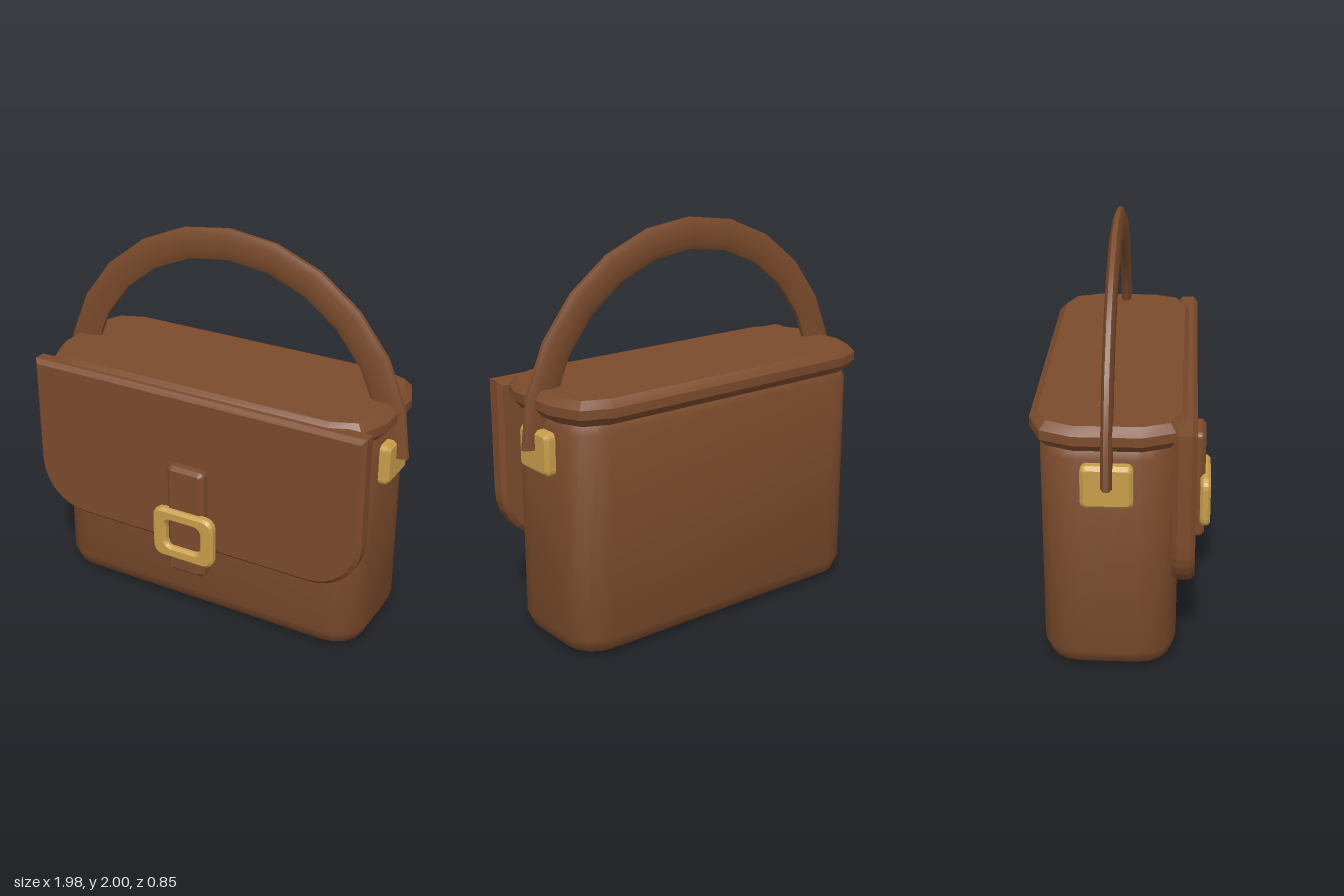
import * as THREE from 'three';
import { toCreasedNormals } from 'three/addons/utils/BufferGeometryUtils.js';

// Closed solid through rings of [x, y, z] points, capped at both ends
function loft(rings, crease) {
  const n = rings[0].length, last = rings.length - 1;
  const pos = rings.flat(2), idx = [];
  for (let j = 0; j < last; j++) {
    for (let i = 0; i < n; i++) {
      const a = j * n + i, b = j * n + (i + 1) % n;
      idx.push(a, a + n, b, b, a + n, b + n);
    }
  }
  for (let i = 1; i < n - 1; i++) {
    idx.push(0, i, i + 1);
    idx.push(last * n, last * n + i + 1, last * n + i);
  }
  const geo = new THREE.BufferGeometry();
  geo.setAttribute('position', new THREE.Float32BufferAttribute(pos, 3));
  geo.setIndex(idx);
  return toCreasedNormals(geo, crease);
}

// Horizontal rounded-rectangle ring
function ring(halfX, halfZ, radius, y, z0, inset, steps) {
  const pts = [], r = radius - inset;
  const corners = [[1, 1], [-1, 1], [-1, -1], [1, -1]];
  corners.forEach(([sx, sz], k) => {
    for (let i = 0; i <= steps; i++) {
      const a = (k + i / steps) * Math.PI / 2;
      pts.push([
        sx * (halfX - radius) + r * Math.cos(a), y,
        z0 + sz * (halfZ - radius) + r * Math.sin(a),
      ]);
    }
  });
  return pts;
}

// Rounded rectangle outline with separate top and bottom radii
function outline(Target, halfW, y0, y1, rBottom, rTop) {
  const s = new Target(), q = Math.PI / 2;
  s.moveTo(-halfW + rBottom, y0);
  s.lineTo(halfW - rBottom, y0);
  s.absarc(halfW - rBottom, y0 + rBottom, rBottom, -q, 0, false);
  s.lineTo(halfW, y1 - rTop);
  if (rTop) s.absarc(halfW - rTop, y1 - rTop, rTop, 0, q, false);
  s.lineTo(-halfW + rTop, y1);
  if (rTop) s.absarc(-halfW + rTop, y1 - rTop, rTop, q, 2 * q, false);
  s.lineTo(-halfW, y0 + rBottom);
  s.absarc(-halfW + rBottom, y0 + rBottom, rBottom, 2 * q, 3 * q, false);
  return s;
}

// Chamfered plate between z0 and z1
function plate(shape, z0, z1, bevel, curveSegments) {
  const geo = new THREE.ExtrudeGeometry(shape, {
    depth: z1 - z0 - 2 * bevel, bevelEnabled: true, bevelSegments: 1,
    bevelSize: bevel, bevelThickness: bevel, bevelOffset: -bevel, curveSegments,
  });
  return geo.translate(0, 0, z0 + bevel);
}

export function createModel() {
  const leather = new THREE.MeshStandardMaterial({ color: 0x7b4b2c });
  leather.name = 'brown leather';
  const brass = new THREE.MeshStandardMaterial({ color: 0xc89d4b });
  brass.name = 'brass';

  const group = new THREE.Group();
  group.name = 'handbag';
  const add = (name, geo, mat) => {
    const mesh = new THREE.Mesh(geo, mat);
    mesh.name = name;
    group.add(mesh);
    return mesh;
  };

  // Body with softened bottom and top edges: [inset, y]
  const bodyProfile = [[0.095, 0], [0.028, 0.028], [0, 0.095], [0, 1.12], [0.028, 1.18], [0.09, 1.21]];
  add('body', loft(bodyProfile.map(([d, y]) => ring(0.887, 0.318, 0.18, y, -0.06, d, 4)), 0.9), leather);

  // Chamfered lid
  const lidProfile = [[0.038, 1.165], [0, 1.205], [0, 1.25], [0.038, 1.287]];
  add('lid', loft(lidProfile.map(([d, y]) => ring(0.93, 0.366, 0.21, y, -0.056, d, 2)), 0.5), leather);

  // Front flap, closing strap and buckle
  add('flap', plate(outline(THREE.Shape, 0.93, 0.42, 1.265, 0.27, 0), 0.235, 0.342, 0.022, 4), leather);
  add('strap', plate(outline(THREE.Shape, 0.105, 0.285, 0.89, 0.03, 0.03), 0.312, 0.395, 0.02, 2), leather);
  const frame = outline(THREE.Shape, 0.175, 0.375, 0.655, 0.055, 0.055);
  frame.holes.push(outline(THREE.Path, 0.1, 0.442, 0.59, 0.035, 0.035));
  add('buckle', plate(frame, 0.37, 0.424, 0.014, 2), brass);

  // Handle mounts on both sides
  for (const side of [1, -1]) {
    const geo = plate(outline(THREE.Shape, 0.12, 0.895, 1.105, 0.03, 0.03), 0.86, 0.938, 0.018, 2);
    geo.rotateY(side * Math.PI / 2).translate(0, 0, -0.06);
    add(side > 0 ? 'leftHandleMount' : 'rightHandleMount', geo, brass);
  }

  // Flat arched handle: [radial, sideways] section swept over a half circle
  const section = [
    [0.0775, -0.011], [0.0775, 0.011], [0.045, 0.026], [-0.045, 0.026],
    [-0.0775, 0.011], [-0.0775, -0.011], [-0.045, -0.026], [0.045, -0.026],
  ];
  const arch = [];
  for (let j = 0; j <= 12; j++) {
    const t = j / 12 * Math.PI;
    arch.push(section.map(([u, v]) => [
      (0.912 + u) * Math.cos(t), 1.01 + (0.912 + u) * Math.sin(t), -0.058 + v,
    ]));
  }
  add('handle', loft(arch, 0.7), leather);

  return group;
}
